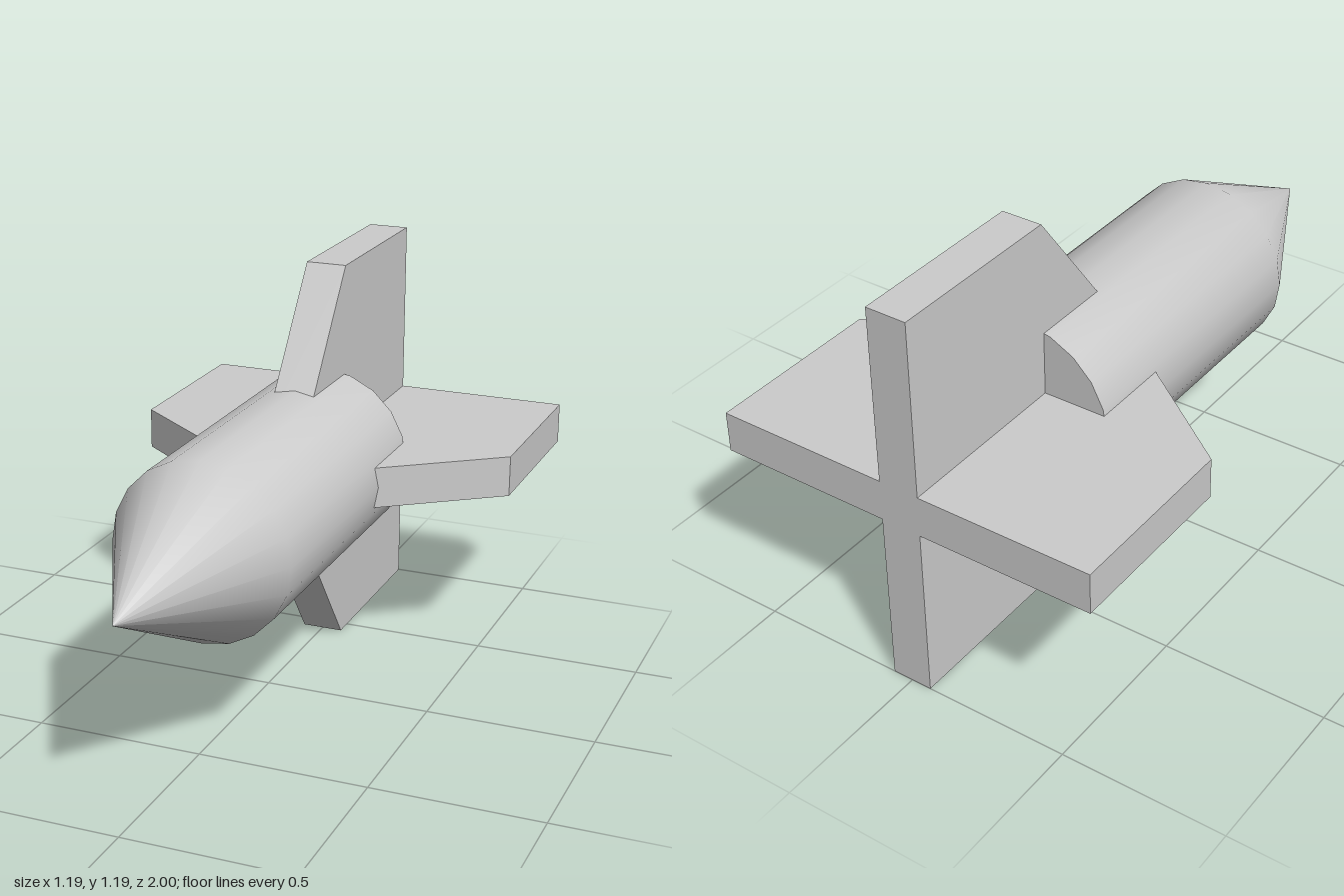
import * as THREE from 'three';

const AXIS_Y = 0.594; // height of the long axis
const RADIUS = 0.266;
const SPAN = 0.594;   // fin reach from the axis
const THICK = 0.124;
const SIDES = 20;

export function createModel() {
  const group = new THREE.Group();
  const material = new THREE.MeshStandardMaterial({ color: 0xcccccc });

  const add = (name, geometry) => {
    const mesh = new THREE.Mesh(geometry, material);
    mesh.name = name;
    mesh.position.y = AXIS_Y;
    group.add(mesh);
    return mesh;
  };

  // Cylindrical body and conical nose, turned as one smooth profile
  const profile = [[RADIUS, -0.445], [RADIUS, 0.475], [0, 1]].map(([r, z]) => new THREE.Vector2(r, z));
  add('bodyAndNose', new THREE.LatheGeometry(profile, SIDES).rotateX(Math.PI / 2));

  // Flat disc closing the rear of the body
  add('rearCap', new THREE.CircleGeometry(RADIUS, SIDES).rotateY(Math.PI).translate(0, 0, -0.445));

  // Two crossing plates, each forming a pair of opposite fins;
  // the sloped leading edges run on inside the body
  const half = [[0.15, -0.113], [SPAN, -0.445], [SPAN, -1]];
  const mirrored = half.map(([r, z]) => [-r, z]).reverse();
  const outline = [...half, ...mirrored].map(([r, z]) => new THREE.Vector2(r, z));
  const plate = new THREE.ExtrudeGeometry(new THREE.Shape(outline), { depth: THICK, bevelEnabled: false })
    .translate(0, 0, -THICK / 2)
    .rotateX(Math.PI / 2);

  add('horizontalFins', plate);
  add('verticalFins', plate).rotation.z = Math.PI / 2;

  return group;
}
